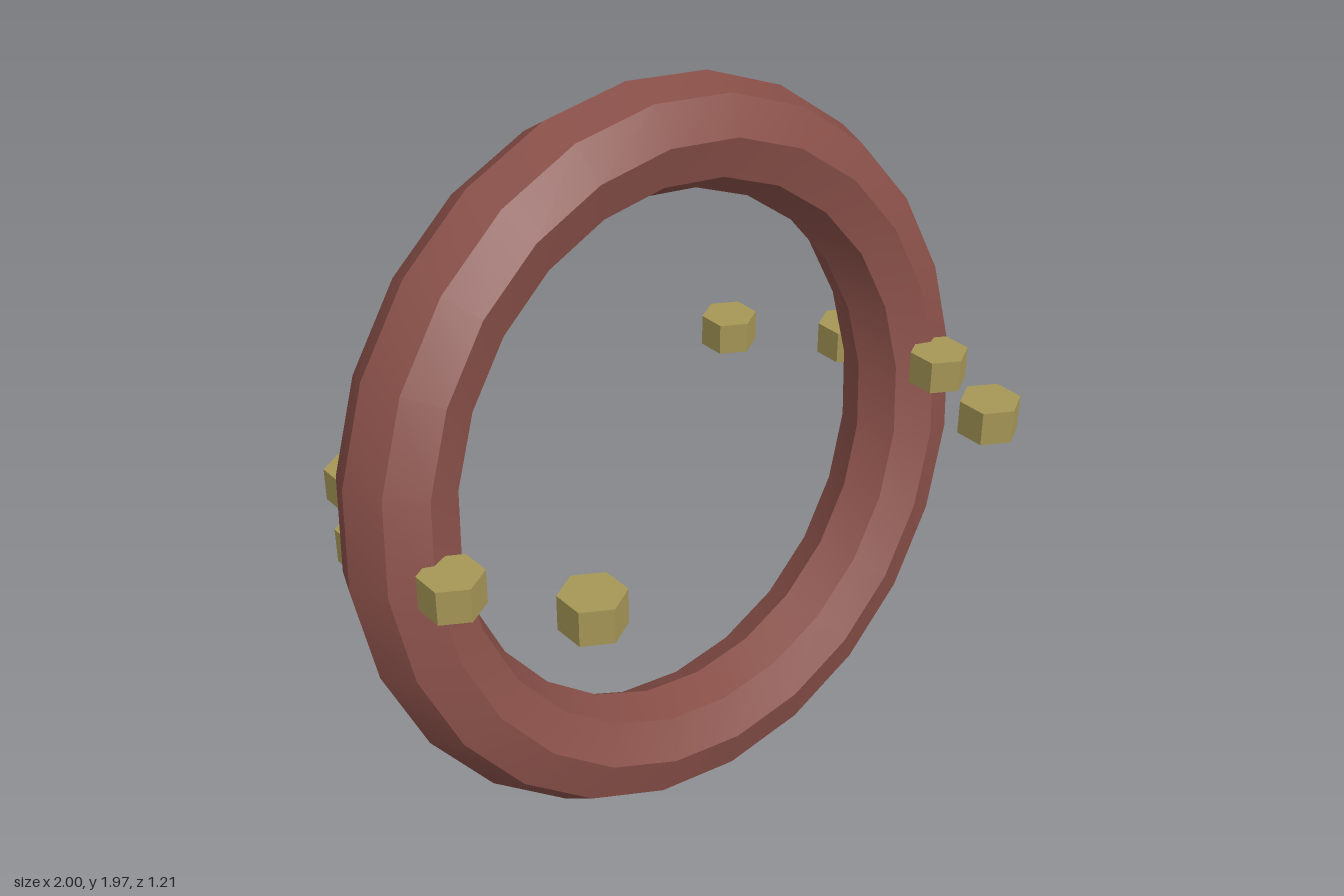
import * as THREE from 'three';
import { toCreasedNormals } from 'three/addons/utils/BufferGeometryUtils.js';

export function createModel() {
  const model = new THREE.Group();
  model.name = 'tiltedRing';
  const ringBrown = new THREE.MeshStandardMaterial({ color: 0x884f48 });
  ringBrown.name = 'reddish brown';
  const brass = new THREE.MeshStandardMaterial({ color: 0xa69656 });
  brass.name = 'brass';

  const tilt = -Math.PI / 18;
  const radius = 0.85;
  const centreY = 0.985;

  // Eight-sided ring, leaning back ten degrees
  const ring = new THREE.Mesh(
    toCreasedNormals(new THREE.TorusGeometry(radius, 0.15, 8, 24), Math.PI / 6), ringBrown);
  ring.name = 'ring';
  ring.rotation.x = tilt;
  ring.position.y = centreY;
  model.add(ring);

  // Upright hexagonal studs on a tilted circle, two pairs on each side
  const studGeometry = toCreasedNormals(new THREE.CylinderGeometry(0.083, 0.083, 0.096, 6), 0.5);
  const tiltAxis = new THREE.Vector3(1, 0, 0);
  for (const side of [-1, 1]) {
    for (const step of [-1.5, -0.5, 0.5, 1.5]) {
      const angle = step * Math.PI / 7;
      const stud = new THREE.Mesh(studGeometry, brass);
      stud.name = side > 0 ? 'leftStud' : 'rightStud';
      stud.position.set(side * radius * Math.cos(angle), 0, radius * Math.sin(angle))
        .applyAxisAngle(tiltAxis, tilt);
      stud.position.y += centreY;
      model.add(stud);
    }
  }
  return model;
}
